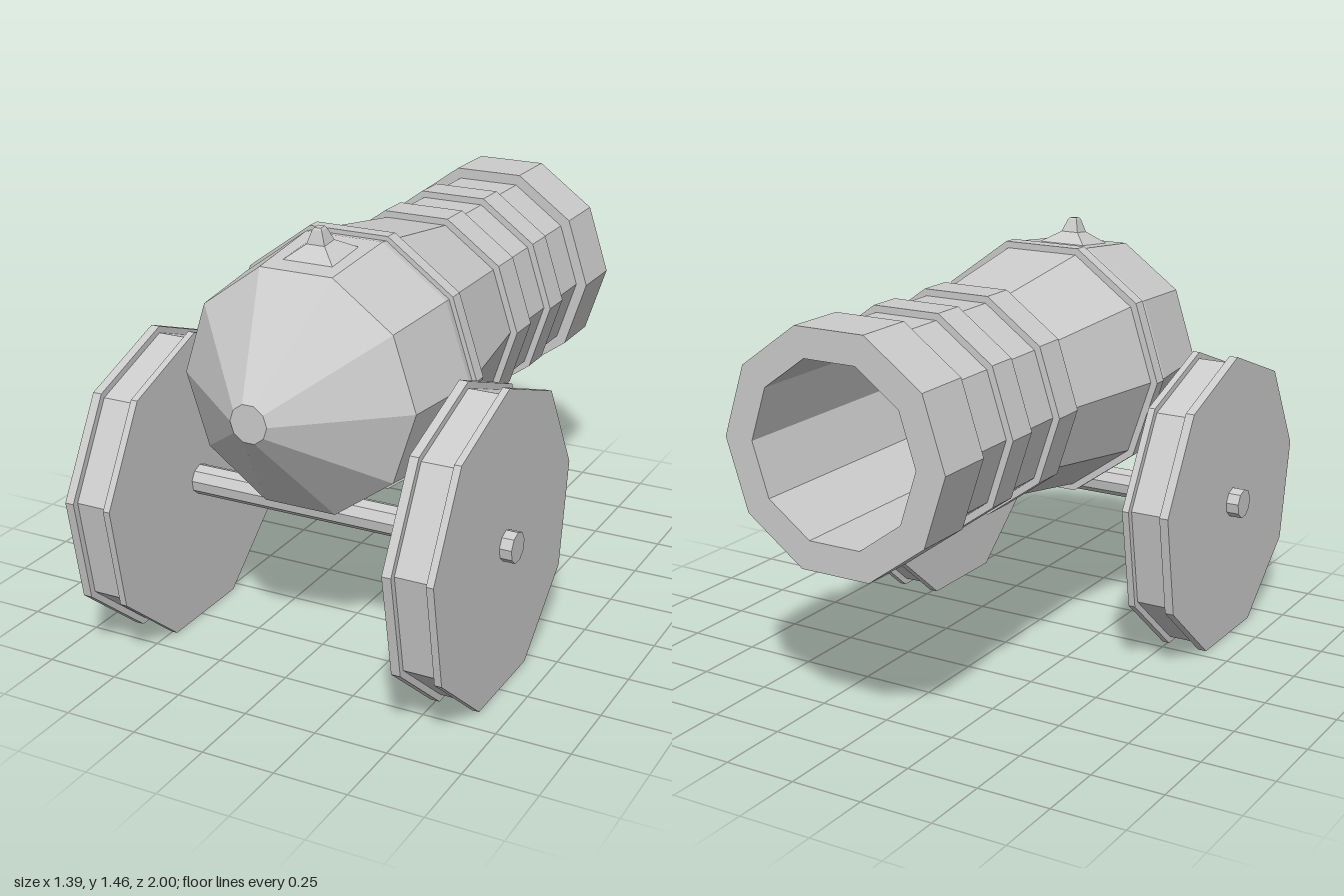
import * as THREE from 'three';

const material = new THREE.MeshStandardMaterial({ color: 0xcccccc, flatShading: true });

// Faceted solid of revolution from [radius, height] pairs, listed bottom to top
function turned(name, profile, sides, startDegrees) {
  const points = profile.map(([r, h]) => new THREE.Vector2(r, h));
  const geometry = new THREE.LatheGeometry(points, sides, THREE.MathUtils.degToRad(startDegrees));
  const mesh = new THREE.Mesh(geometry, material);
  mesh.name = name;
  return mesh;
}

export function createModel() {
  const cannon = new THREE.Group();
  cannon.name = 'cannon';

  // Barrel: bore, muzzle ring, reinforcing bands, swollen breech and blunt cone
  const barrel = turned('barrel', [
    [0, 0.1], [0.3, 0.1], [0.3, -1],
    [0.402, -1], [0.402, -0.79], [0.363, -0.79],
    [0.363, -0.595], [0.387, -0.595], [0.387, -0.48], [0.363, -0.48],
    [0.363, -0.305], [0.387, -0.305], [0.387, -0.185], [0.363, -0.185],
    [0.434, 0.25], [0.458, 0.25], [0.458, 0.3], [0.442, 0.3],
    [0.447, 0.33], [0.413, 0.64], [0.064, 0.937], [0, 0.937],
  ], 10, 18);
  barrel.geometry.rotateX(Math.PI / 2);
  barrel.position.set(0.004, 0.96, 0);
  cannon.add(barrel);

  // Flared square fuse stud, leaning with the slope of the breech
  const q = Math.SQRT2;
  const stud = turned('fuseStud', [
    [0, -0.03], [0.092 * q, -0.03], [0.092 * q, 0], [0.032 * q, 0.042],
    [0.017 * q, 0.085], [0.012 * q, 0.092], [0, 0.092],
  ], 4, 45);
  stud.position.set(0.004, 1.366, 0.478);
  stud.rotation.x = 0.1;
  cannon.add(stud);

  // Two nine-sided wheels, each with a shallow groove between its flanges
  const R = 0.531, r = 0.508;
  for (const [name, x] of [['leftWheel', 0.482], ['rightWheel', -0.65]]) {
    const wheel = turned(name, [
      [0, 0], [R, 0], [R, 0.031], [r, 0.031],
      [r, 0.145], [R, 0.145], [R, 0.169], [0, 0.169],
    ], 9, 30);
    wheel.geometry.rotateZ(-Math.PI / 2);
    wheel.position.set(x, 0.499, 0.475);
    cannon.add(wheel);
  }

  // Axle running through both wheels
  const axle = turned('axle', [[0, -0.695], [0.052, -0.695], [0.052, 0.692], [0, 0.692]], 9, 30);
  axle.geometry.rotateZ(-Math.PI / 2);
  axle.position.set(0, 0.505, 0.475);
  cannon.add(axle);

  return cannon;
}
